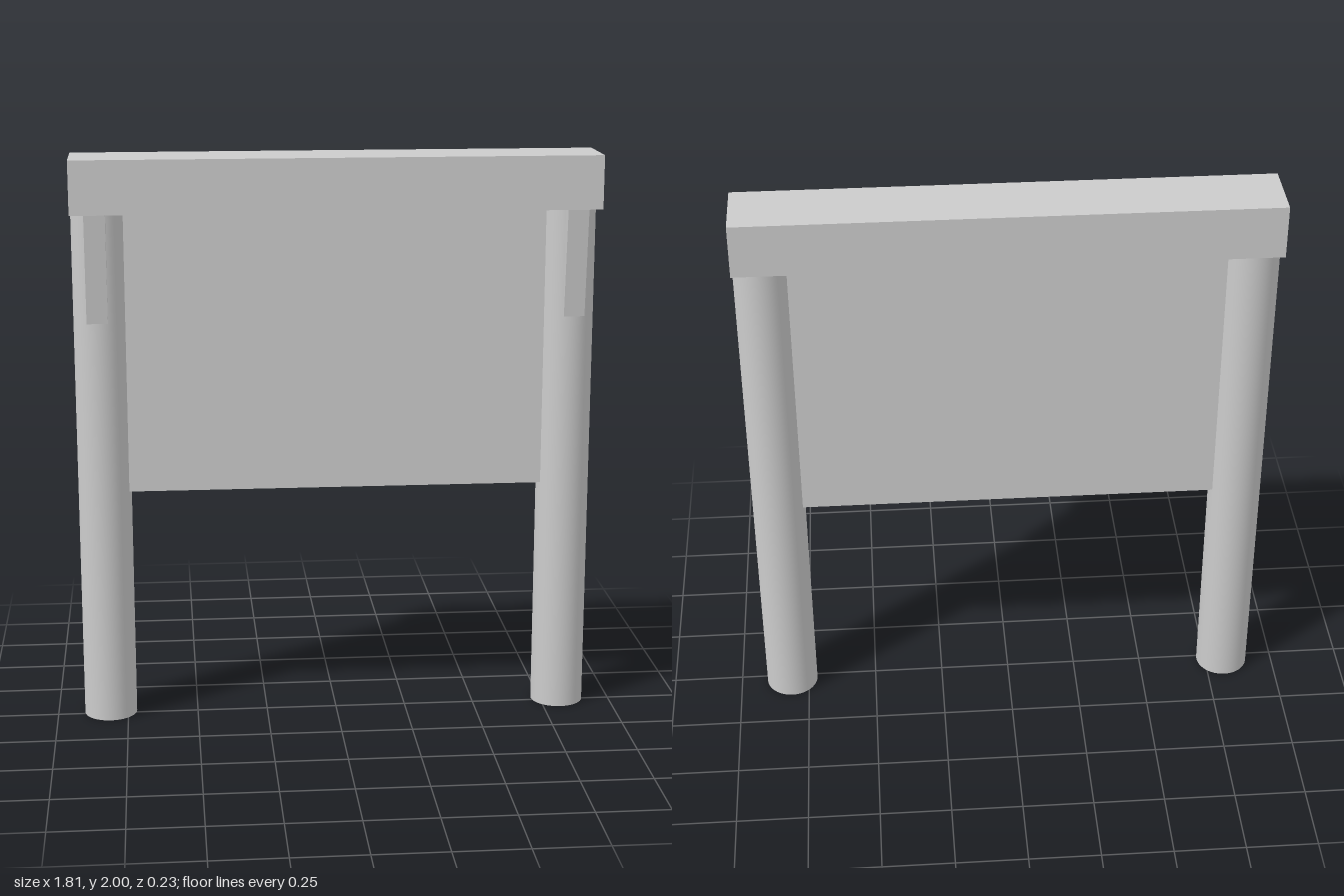
import * as THREE from 'three';

const material = new THREE.MeshStandardMaterial({ color: 0xcccccc });

export function createModel() {
  const group = new THREE.Group();
  const add = (name, geometry, x, y, z) => {
    const mesh = new THREE.Mesh(geometry, material);
    mesh.name = name;
    mesh.position.set(x, y, z);
    group.add(mesh);
  };

  const postRadius = 0.093, postX = 0.812, postZ = -0.018, beamBottom = 1.815;

  // Top beam
  add('topBeam', new THREE.BoxGeometry(1.81, 2 - beamBottom, 0.232), 0, (2 + beamBottom) / 2, 0);

  // Board set between the posts
  const boardBottom = 0.83;
  add('board', new THREE.BoxGeometry(1.46, beamBottom - boardBottom, 0.075),
    0, (beamBottom + boardBottom) / 2, postZ);

  // Tapered bracket outline: (z, y), back edge sunk into the post
  const bracketShape = new THREE.Shape([
    new THREE.Vector2(0.05, 1.44),
    new THREE.Vector2(0.081, 1.44),
    new THREE.Vector2(0.116, beamBottom),
    new THREE.Vector2(0.05, beamBottom),
  ]);
  const bracketWidth = 0.072;
  const bracket = new THREE.ExtrudeGeometry(bracketShape, { depth: bracketWidth, bevelEnabled: false });
  bracket.translate(0, 0, -bracketWidth / 2);
  bracket.rotateY(-Math.PI / 2);

  // Round posts, each with a bracket on its front
  const post = new THREE.CylinderGeometry(postRadius, postRadius, beamBottom, 48);
  for (const [side, s] of [['left', 1], ['right', -1]]) {
    add(side + 'Post', post, s * postX, beamBottom / 2, postZ);
    add(side + 'Bracket', bracket, s * 0.821, 0, 0);
  }
  return group;
}
